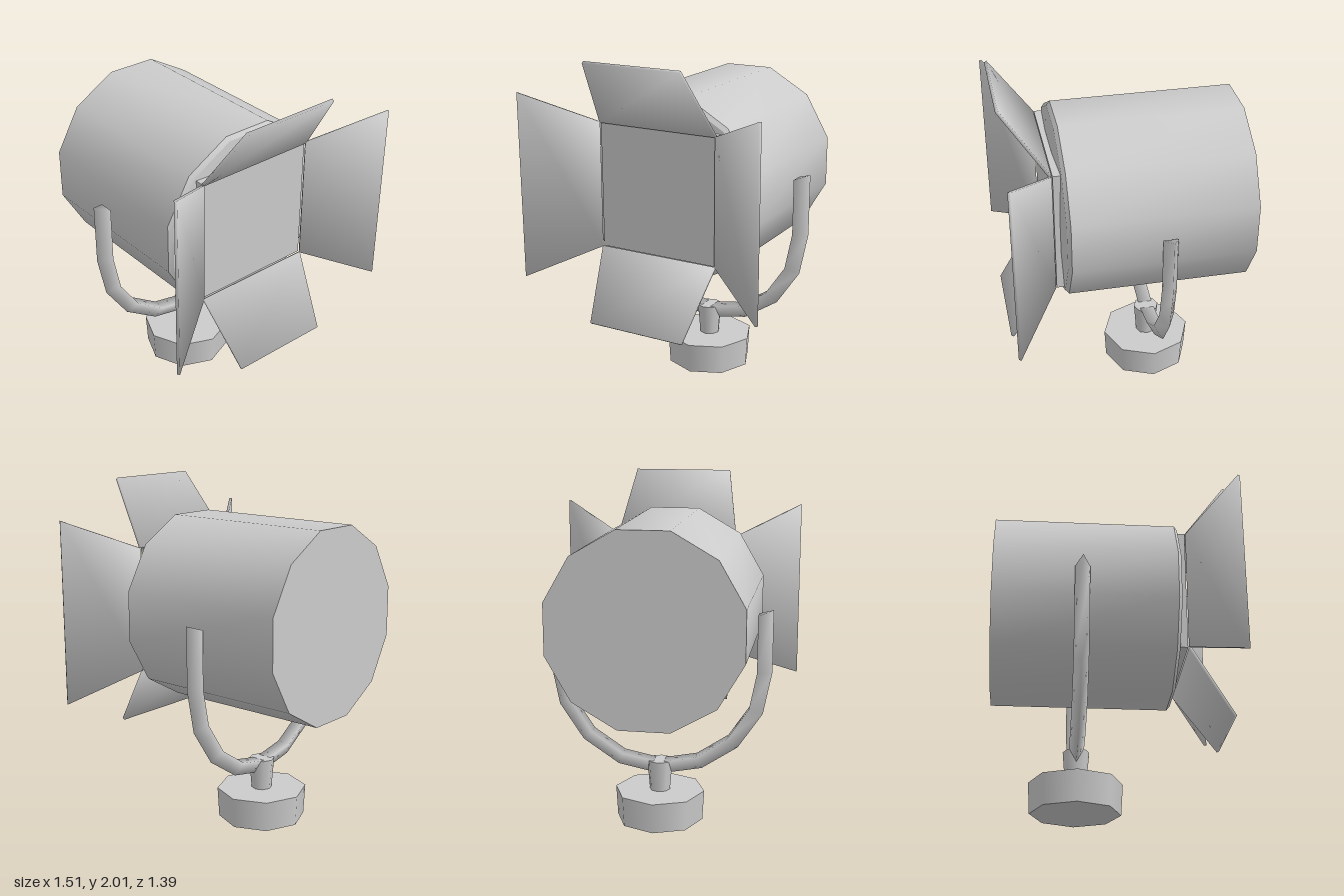
import * as THREE from 'three';
import { toCreasedNormals } from 'three/addons/utils/BufferGeometryUtils.js';

const grey = new THREE.MeshStandardMaterial({ color: 0xcccccc });
const AXIS_Y = 1.25;    // height of the lamp axis
const STAND_Z = -0.185; // depth of yoke and stand

function part(name, geometry, x = 0, y = 0, z = 0) {
  const mesh = new THREE.Mesh(geometry, grey);
  mesh.name = name;
  mesh.position.set(x, y, z);
  return mesh;
}

// Twelve-sided can with a small bevel and a shallow sloping front
function canGeometry() {
  const profile = [[0, -0.69], [0.569, -0.69], [0.569, 0.36], [0.545, 0.38], [0.4, 0.394], [0, 0.394]]
    .map(([r, z]) => new THREE.Vector2(r, z));
  const geo = new THREE.LatheGeometry(profile, 12, Math.PI / 12).rotateX(Math.PI / 2);
  return toCreasedNormals(geo, 0.6);
}

// Thin flap hinged at the lens edge, leaning outwards and forwards
function flapGeometry(halfHinge, halfTip) {
  const rise = 0.38, reach = 0.255, length = Math.hypot(rise, reach);
  const geo = new THREE.BoxGeometry(2, length, 0.017);
  const pos = geo.attributes.position, normal = geo.attributes.normal;
  const n = new THREE.Vector3();
  for (let i = 0; i < pos.count; i++) {
    // soft corner normals, shared by the three meeting faces
    n.set(Math.sign(pos.getX(i)), Math.sign(pos.getY(i)), Math.sign(pos.getZ(i))).normalize();
    normal.setXYZ(i, n.x, n.y, n.z);
    pos.setX(i, pos.getX(i) * (pos.getY(i) > 0 ? halfTip : halfHinge));
  }
  geo.translate(0, length / 2, 0);
  geo.rotateX(Math.atan2(reach, rise));
  return geo.translate(0, 0.371, 0.437);
}

// U-shaped yoke: a triangular section, ridge outwards, swept along a half circle with straight arms
function yokeGeometry() {
  const centreY = 0.93, steps = 8;
  const section = [[0.656, 0], [0.571, 0.043], [0.571, -0.043]];
  const verts = [], index = [];
  const ring = (angle, lift) => section.forEach(([r, z]) => verts.push(
    r * Math.cos(angle),
    centreY + r * Math.sin(angle) + (lift ? 0.335 + (z ? 0 : 0.03) : 0),
    z));
  ring(Math.PI, true);
  for (let i = 0; i <= steps; i++) ring(Math.PI * (1 + i / steps), false);
  ring(Math.PI * 2, true);
  const rings = steps + 3;
  for (let i = 0; i < rings - 1; i++) {
    for (let j = 0; j < 3; j++) {
      const a = i * 3 + j, b = i * 3 + (j + 1) % 3;
      index.push(a, a + 3, b, b, a + 3, b + 3);
    }
  }
  const last = (rings - 1) * 3;
  index.push(0, 1, 2, last, last + 2, last + 1);
  const geo = new THREE.BufferGeometry();
  geo.setAttribute('position', new THREE.Float32BufferAttribute(verts, 3));
  geo.setIndex(index);
  geo.computeVertexNormals();
  return geo;
}

export function createModel() {
  const model = new THREE.Group();
  model.name = 'stageLight';

  // Lamp housing and square lens frame
  model.add(part('lampCan', canGeometry(), 0, AXIS_Y, 0));
  model.add(part('lensFrame', new THREE.BoxGeometry(0.744, 0.744, 0.06), 0, AXIS_Y, 0.396));

  // Four barn doors: top and bottom taper, the sides flare
  ['topFlap', 'leftFlap', 'bottomFlap', 'rightFlap'].forEach((name, i) => {
    const flap = part(name, flapGeometry(0.37, i % 2 ? 0.545 : 0.298), 0, AXIS_Y, 0);
    flap.rotation.z = -i * Math.PI / 2;
    model.add(flap);
  });

  // Yoke, stem and foot
  model.add(part('yoke', yokeGeometry(), 0, 0, STAND_Z));
  model.add(part('stem', new THREE.CylinderGeometry(0.076, 0.06, 0.195, 8), 0, 0.2675, STAND_Z));
  model.add(part('base', new THREE.CylinderGeometry(0.268, 0.258, 0.18, 8), 0, 0.09, STAND_Z));

  return model;
}
